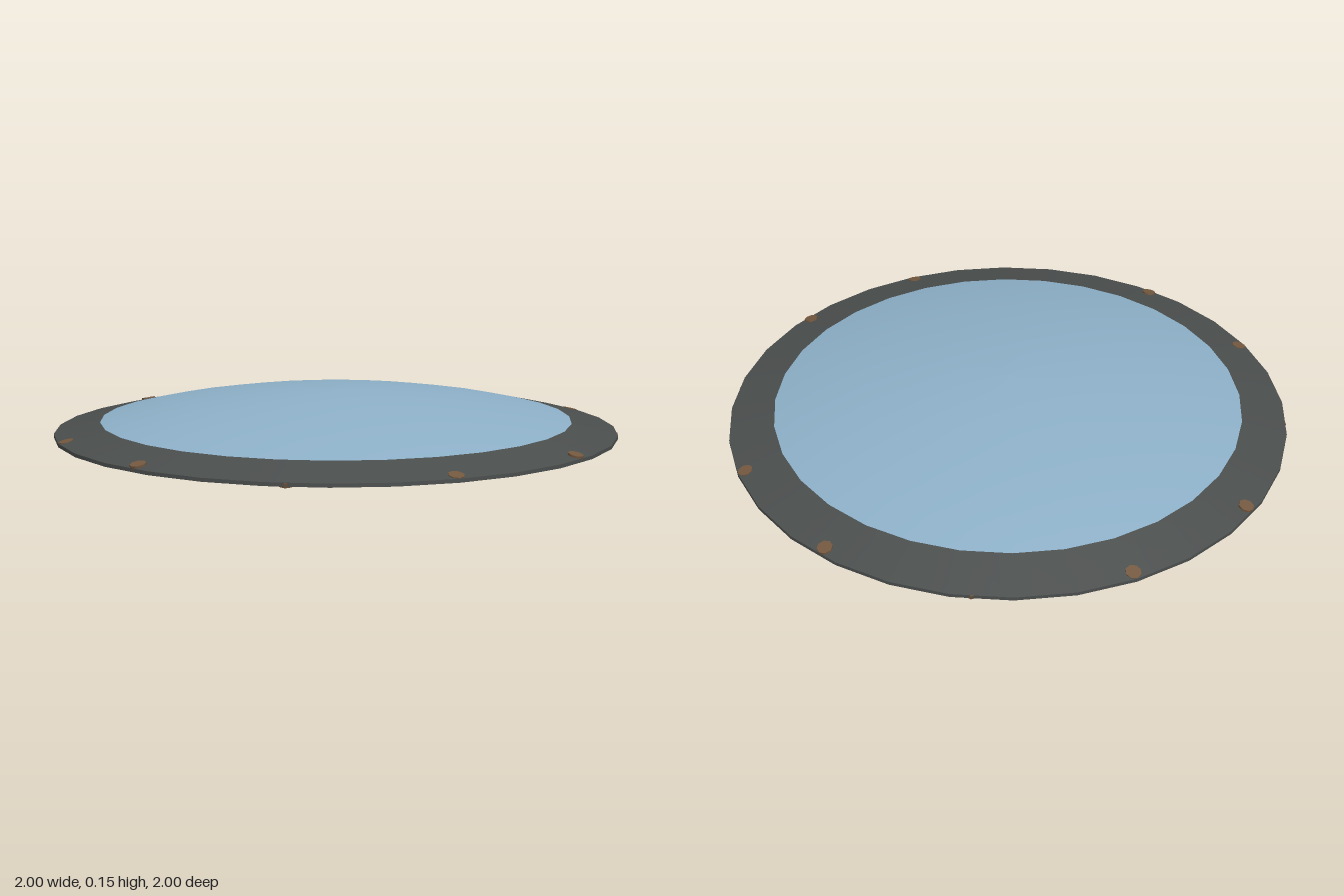
import * as THREE from 'three';

const SIDES = 32;
const THICK = 0.012;
const GLASS_R = 0.84;
const TILT = Math.atan2(0.036, 1 - GLASS_R);

const glass = new THREE.MeshStandardMaterial({ name: 'paleBlueGlass', color: 0x8db0c8 });
const frame = new THREE.MeshStandardMaterial({ name: 'darkGreyFrame', color: 0x4a4e4d });
const rivet = new THREE.MeshStandardMaterial({ name: 'brownRivet', color: 0x74583f });

// Surface of revolution from [radius, height] pairs
function lathe(name, pairs, material) {
  const points = pairs.map(([r, y]) => new THREE.Vector2(r, y));
  const mesh = new THREE.Mesh(new THREE.LatheGeometry(points, SIDES), material);
  mesh.name = name;
  return mesh;
}

export function createModel() {
  const model = new THREE.Group();
  model.name = 'domedWindow';

  // Shallow glass dome: upper skin and parallel lower skin
  const dome = [[GLASS_R, 0.048], [0.7, 0.079], [0.52, 0.108], [0.33, 0.131], [0.16, 0.144], [0, 0.148]];
  const under = dome.map(([r, y]) => [r, y - THICK]).reverse();
  model.add(lathe('glassTop', dome, glass), lathe('glassUnderside', under, glass));

  // Sloping frame ring, one lathe per face to keep the edges crisp
  const ring = new THREE.Group();
  ring.name = 'frameRing';
  ring.add(
    lathe('ringUnderside', [[GLASS_R, 0.036], [1, 0]], frame),
    lathe('ringEdge', [[1, 0], [1, THICK]], frame),
    lathe('ringTop', [[1, THICK], [GLASS_R, 0.048]], frame),
  );
  model.add(ring);

  // Twelve rivets: quarter points pass through, the others show above or below
  const rivets = new THREE.Group();
  rivets.name = 'rivets';
  const geometry = new THREE.CylinderGeometry(0.026, 0.026, 0.016, 8);
  const offsets = [0, 0.004, -0.004];
  for (let i = 0; i < 12; i++) {
    const pivot = new THREE.Group();
    pivot.name = 'rivetPivot';
    pivot.rotation.y = (i * Math.PI) / 6;
    const head = new THREE.Mesh(geometry, rivet);
    head.name = 'rivet';
    head.position.set(0, 0.0123 + offsets[i % 3], 0.972);
    head.rotation.x = TILT;
    pivot.add(head);
    rivets.add(pivot);
  }
  model.add(rivets);

  return model;
}
